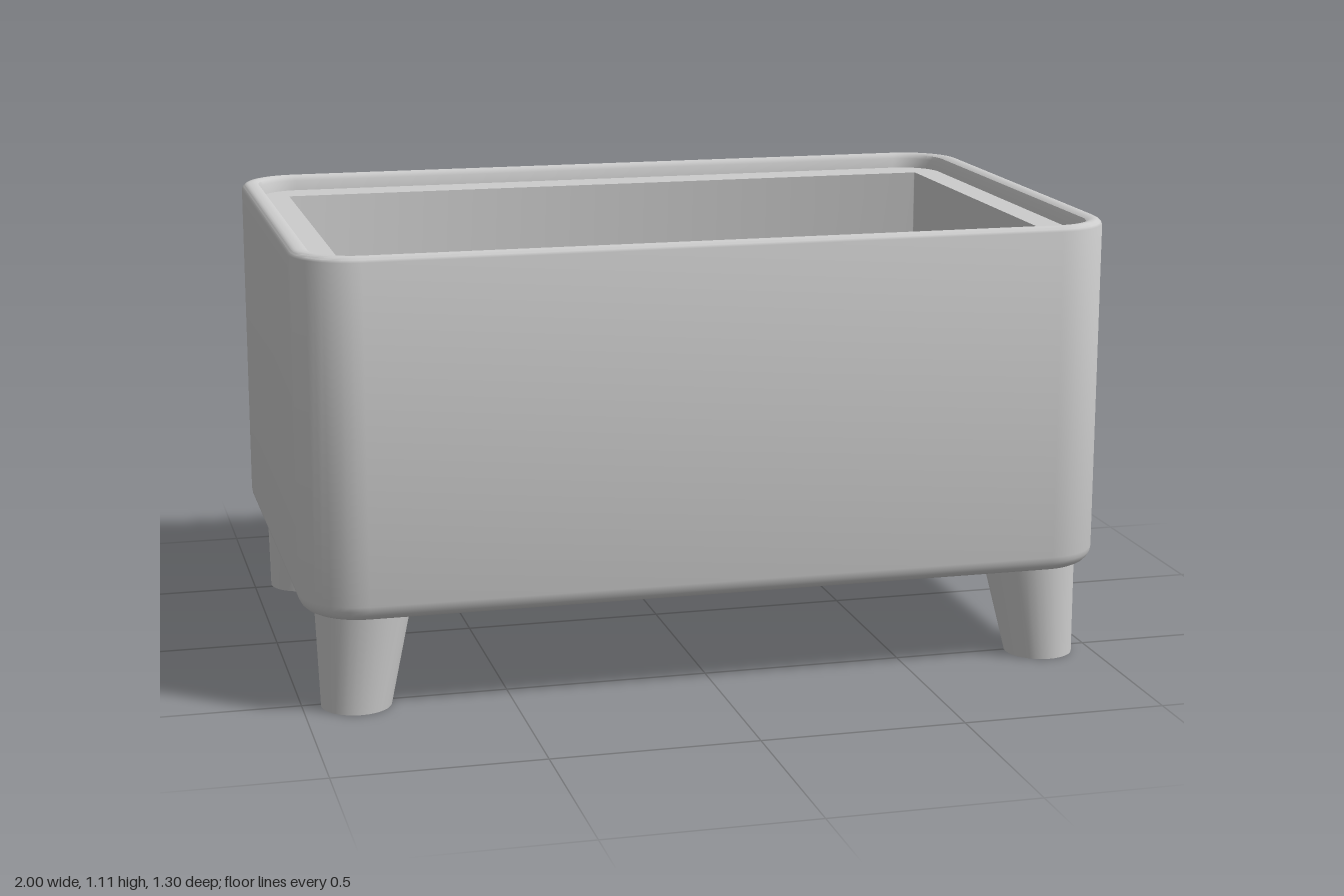
import * as THREE from 'three';
import { toCreasedNormals } from 'three/addons/utils/BufferGeometryUtils.js';

const STEPS = 10; // segments per rounded corner

// Rounded-rectangle loop, half sizes hx and hz, corner radius r, at height y
function ring([hx, hz, r, y]) {
  const pts = [];
  for (let c = 0; c < 4; c++) {
    const sx = c === 0 || c === 3 ? 1 : -1;
    const sz = c < 2 ? 1 : -1;
    for (let i = 0; i <= STEPS; i++) {
      const a = (c + i / STEPS) * Math.PI / 2;
      pts.push([sx * (hx - r) + r * Math.cos(a), y, sz * (hz - r) + r * Math.sin(a)]);
    }
  }
  return pts;
}

// Joins consecutive loops into a skin and caps the first and last loop
function loft(sections) {
  const pos = [];
  const index = [];
  const n = 4 * (STEPS + 1);
  sections.forEach((s) => pos.push(...ring(s).flat()));
  for (let k = 0; k < sections.length - 1; k++) {
    for (let i = 0; i < n; i++) {
      const a = k * n + i, b = k * n + (i + 1) % n;
      index.push(a, a + n, b, b, a + n, b + n);
    }
  }
  const end = (sections.length - 1) * n;
  for (let i = 1; i < n - 1; i++) {
    index.push(0, i, i + 1);
    index.push(end, end + i + 1, end + i);
  }
  const g = new THREE.BufferGeometry();
  g.setAttribute('position', new THREE.Float32BufferAttribute(pos, 3));
  g.setIndex(index);
  return toCreasedNormals(g, 0.6);
}

export function createModel() {
  const model = new THREE.Group();
  const material = new THREE.MeshStandardMaterial({ color: 0xcccccc });

  // Planter body: underside, rounded walls, rim, inner ledge, cavity, floor
  const sections = [];
  const fillet = (hx, hz, corner, r, cy, a0, a1, steps) => {
    for (let i = 0; i <= steps; i++) {
      const a = a0 + (a1 - a0) * i / steps;
      const d = r * (1 - Math.cos(a));
      sections.push([hx - d, hz - d, corner - d, cy + r * Math.sin(a)]);
    }
  };
  fillet(1, 0.65, 0.15, 0.04, 0.28, -Math.PI / 2, 0, 5);
  fillet(1, 0.65, 0.15, 0.02, 1.09, 0, Math.PI / 2, 5);
  sections.push(
    [0.965, 0.63, 0.12, 1.11],
    [0.955, 0.622, 0.11, 1.105],
    [0.95, 0.617, 0.105, 1.095],
    [0.945, 0.613, 0.1, 1.07],
    [0.875, 0.512, 0.003, 1.07],
    [0.875, 0.512, 0.003, 0.33],
  );
  const body = new THREE.Mesh(loft(sections), material);
  body.name = 'planterBody';
  model.add(body);

  // Four tapered legs whose feet lean outwards
  for (const sx of [-1, 1]) {
    for (const sz of [-1, 1]) {
      const g = new THREE.CylinderGeometry(0.117, 0.085, 0.25, 32);
      g.translate(0, 0.125, 0);
      const p = g.attributes.position;
      for (let i = 0; i < p.count; i++) {
        const t = p.getY(i) / 0.25;
        p.setX(i, p.getX(i) + sx * (0.87 - 0.025 * t));
        p.setZ(i, p.getZ(i) + sz * (0.517 - 0.025 * t));
      }
      g.computeVertexNormals();
      const leg = new THREE.Mesh(toCreasedNormals(g, 0.6), material);
      leg.name = (sz > 0 ? 'front' : 'back') + (sx > 0 ? 'Left' : 'Right') + 'Leg';
      model.add(leg);
    }
  }
  return model;
}
